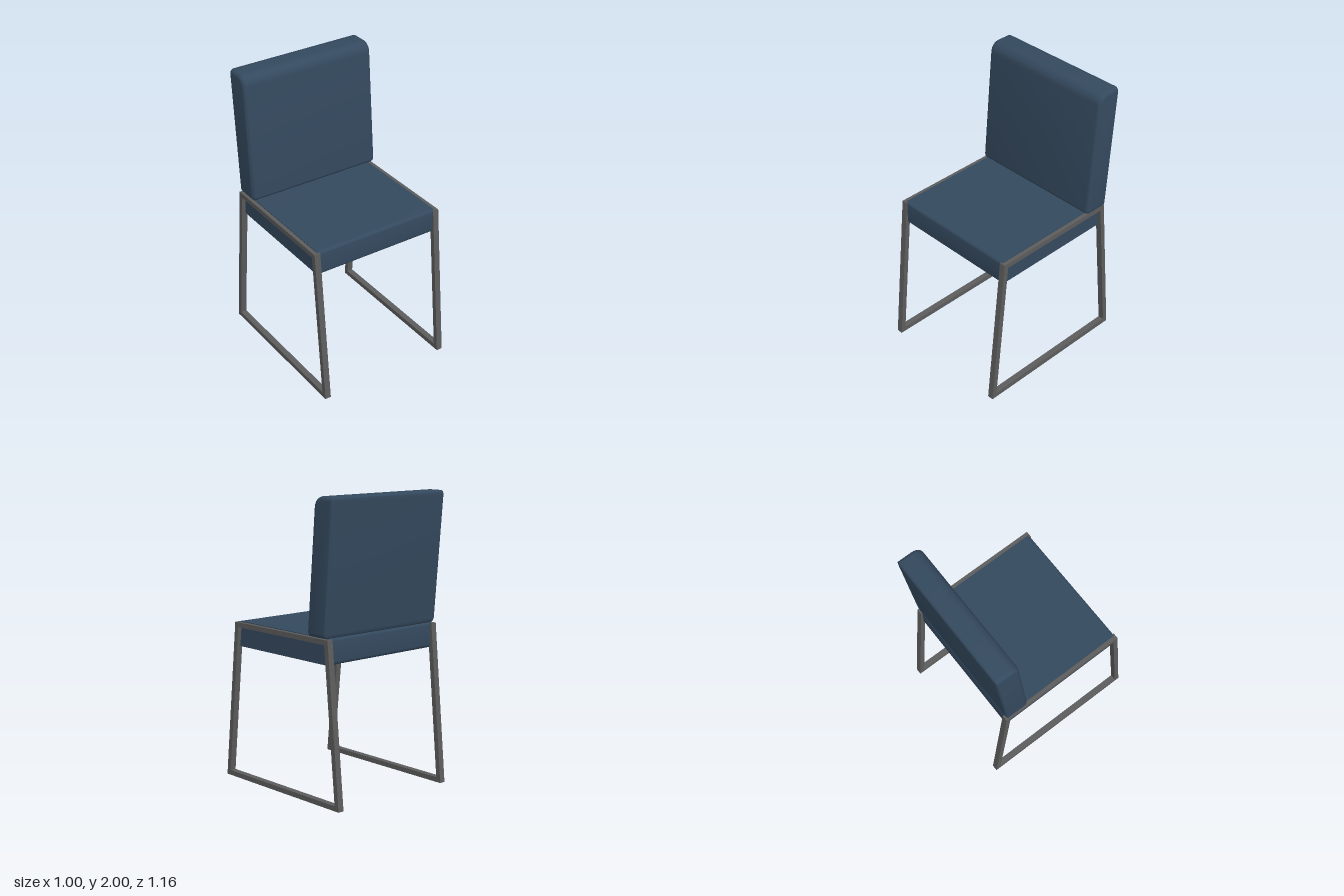
import * as THREE from 'three';
import { toCreasedNormals } from 'three/addons/utils/BufferGeometryUtils.js';

// Side profile drawn as (z, y), extruded along x and centred on x = 0
function extrudeAcross(shape, width, options = {}) {
  const bevel = options.bevelEnabled ? options.bevelThickness : 0;
  const geo = new THREE.ExtrudeGeometry(shape, {
    depth: width - 2 * bevel, bevelEnabled: false, curveSegments: 8, ...options,
  });
  geo.translate(0, 0, bevel - width / 2);
  geo.rotateY(-Math.PI / 2);
  return geo;
}

// Rectangle with its own radius on each corner
function roundedRect(z0, z1, y0, y1, { bf = 0.01, tf = 0.01, tb = 0.01, bb = 0.01 }) {
  const s = new THREE.Shape();
  s.moveTo(z0 + bb, y0);
  s.lineTo(z1 - bf, y0);
  s.quadraticCurveTo(z1, y0, z1, y0 + bf);
  s.lineTo(z1, y1 - tf);
  s.quadraticCurveTo(z1, y1, z1 - tf, y1);
  s.lineTo(z0 + tb, y1);
  s.quadraticCurveTo(z0, y1, z0, y1 - tb);
  s.lineTo(z0, y0 + bb);
  s.quadraticCurveTo(z0, y0, z0 + bb, y0);
  return s;
}

const polygon = (points) => points.map(([z, y]) => new THREE.Vector2(z, y));

export function createModel() {
  const upholstery = new THREE.MeshStandardMaterial({ color: 0x34495e });
  upholstery.name = 'blue upholstery';
  const metal = new THREE.MeshStandardMaterial({ color: 0x5c5c5c });
  metal.name = 'grey metal';

  const chair = new THREE.Group();
  chair.name = 'chair';
  const add = (name, geo, material, x = 0) => {
    const mesh = new THREE.Mesh(geo, material);
    mesh.name = name;
    mesh.position.x = x;
    chair.add(mesh);
  };

  // Sled frames: one trapezoid loop of square bar on each side
  const loop = new THREE.Shape(polygon([[-0.58, 0], [0.58, 0], [0.465, 1.1], [-0.475, 1.1]]));
  loop.holes.push(new THREE.Path(polygon([[-0.542, 0.034], [-0.443, 1.066], [0.433, 1.066], [0.542, 0.034]])));
  const frameGeo = extrudeAcross(loop, 0.043);
  add('rightFrame', frameGeo, metal, -0.482);
  add('leftFrame', frameGeo, metal, 0.462);

  // Seat cushion, softly rounded at front and back
  const seat = roundedRect(-0.465, 0.462, 0.93, 1.105, { bf: 0.03, tf: 0.025, tb: 0.025, bb: 0.03 });
  add('seat', toCreasedNormals(extrudeAcross(seat, 0.932), 0.8), upholstery, -0.01);

  // Backrest: bevelled upright cushion, then leaned back
  const bevel = 0.028, base = 1.105, rear = -0.465;
  const back = roundedRect(rear + bevel, -0.29 - bevel, base + bevel, 2 - bevel, { tf: 0.045, bf: 0.004, tb: 0.006, bb: 0.004 });
  const backGeo = extrudeAcross(back, 1, {
    bevelEnabled: true, bevelThickness: bevel, bevelSize: bevel, bevelSegments: 4,
  });
  const p = backGeo.attributes.position;
  for (let i = 0; i < p.count; i++) {
    let z = p.getZ(i);
    // Rear edges are crisper than the front ones
    if (z < rear + 0.03) z = THREE.MathUtils.lerp(z, rear, 0.65);
    p.setZ(i, z - 0.085 * (p.getY(i) - base));
  }
  add('backrest', toCreasedNormals(backGeo, 0.8), upholstery);

  return chair;
}
